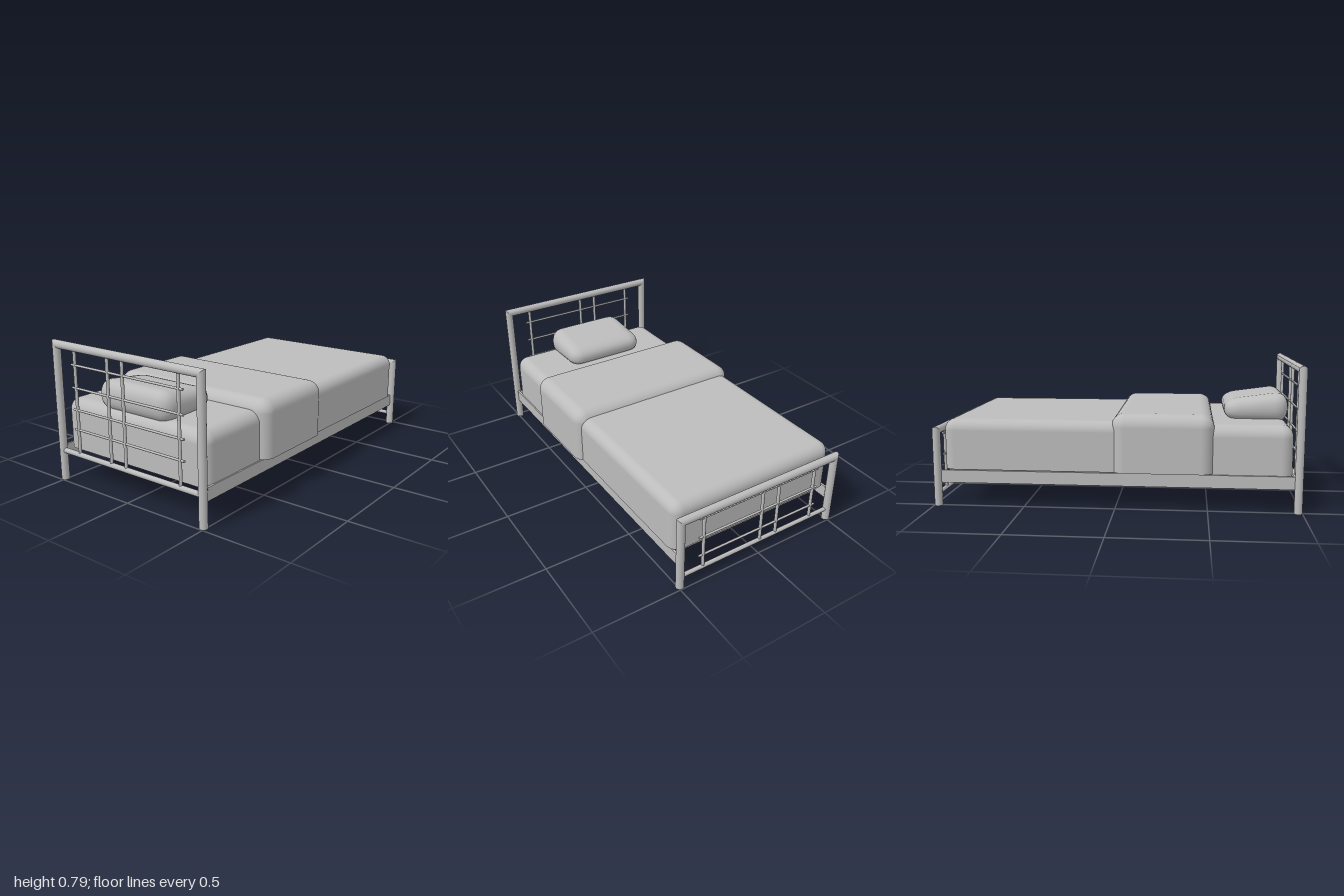
import * as THREE from 'three';
import { RoundedBoxGeometry } from 'three/addons/geometries/RoundedBoxGeometry.js';
import { mergeVertices } from 'three/addons/utils/BufferGeometryUtils.js';

const LEFT = 0.49, RIGHT = -0.505;          // post centre lines
const MID = (LEFT + RIGHT) / 2, SPAN = LEFT - RIGHT;
const POST_R = 0.0225;

export function createModel() {
  const bed = new THREE.Group();
  bed.name = 'bed';
  const grey = new THREE.MeshStandardMaterial({ color: 0xbcbcbc });
  grey.name = 'grey';

  function add(parent, name, geometry, x = 0, y = 0, z = 0) {
    const mesh = new THREE.Mesh(geometry, grey);
    mesh.name = name;
    mesh.position.set(x, y, z);
    parent.add(mesh);
    return mesh;
  }

  function bend(geometry, rule) {
    const p = geometry.attributes.position, v = new THREE.Vector3();
    for (let i = 0; i < p.count; i++) {
      v.fromBufferAttribute(p, i);
      rule(v, i);
      p.setXYZ(i, v.x, v.y, v.z);
    }
    return geometry;
  }

  const rod = (r, length, sides = 12) => new THREE.CylinderGeometry(r, r, length, sides);
  const crossRod = (r, length, sides) => rod(r, length, sides).rotateZ(Math.PI / 2);

  // Tubular end frame: two posts and a top rail with mitred corners, plus a grille
  function endFrame(name, z, height, lowRail, lowRadius, bars) {
    const frame = new THREE.Group();
    frame.name = name;
    frame.position.z = z;
    bed.add(frame);
    const top = height - POST_R;
    for (const [x, out] of [[LEFT, 1], [RIGHT, -1]]) {
      const post = rod(POST_R, top, 24).translate(0, top / 2, 0);
      bend(post, v => { if (v.y > top - 1e-4) v.y += out * v.x; });
      add(frame, 'post', post, x);
    }
    const rail = crossRod(POST_R, SPAN, 24);
    bend(rail, v => { v.x += Math.sign(v.x) * v.y; });
    add(frame, 'topRail', rail, MID, top);
    add(frame, 'lowerRail', crossRod(lowRadius, SPAN, 16), MID, lowRail);
    for (const x of [-0.368, -0.125, -0.019, 0.351])
      add(frame, 'uprightBar', rod(0.009, top - lowRail), x, (top + lowRail) / 2);
    for (const y of bars)
      add(frame, 'crossBar', crossRod(0.0065, 0.773), -0.0075, y);
  }
  endFrame('headboard', 0.9775, 0.785, 0.17, 0.015, [0.667, 0.543, 0.422, 0.312]);
  endFrame('footboard', -0.9775, 0.44, 0.069, 0.012, [0.385, 0.265, 0.147]);

  // Side rails and slats
  for (const x of [LEFT, RIGHT])
    add(bed, 'sideRail', new THREE.BoxGeometry(0.012, 0.07, 1.93), x, 0.165, 0);
  for (let i = 0; i < 7; i++)
    add(bed, 'slat', crossRod(0.011, SPAN), MID, 0.172, 0.76 - i * 0.27);

  // Soft slab with rounded top and sides and a flat underside
  function slab(name, x0, x1, y0, y1, z0, z1, r) {
    const height = y1 - y0 + r;
    const geo = new RoundedBoxGeometry(x1 - x0, height, z1 - z0, 5, r);
    const floor = -height / 2 + r;
    const n = geo.attributes.normal;
    bend(geo, (v, i) => {
      if (v.y < floor - 1e-4) {
        v.y = floor;
        n.setXYZ(i, 0, -1, 0);
      }
    });
    add(bed, name, geo, (x0 + x1) / 2, y1 - height / 2, (z0 + z1) / 2);
  }
  slab('mattress', -0.495, 0.488, 0.187, 0.465, -0.93, 0.95, 0.065);
  slab('blanket', -0.513, 0.508, 0.205, 0.48, -0.94, 0.06, 0.06);
  slab('blanketFold', -0.535, 0.535, 0.205, 0.52, -0.02, 0.53, 0.07);

  // Pillow: rounded block, thinner toward the foot and slightly domed
  let pillow = new RoundedBoxGeometry(0.5, 0.172, 0.355, 3, 0.075);
  bend(pillow, v => {
    const t = 0.5 - v.z / 0.355;
    const dome = 0.006 * (1 - Math.abs(v.x) / 0.25);
    const up = v.y + 0.086;
    v.y = 0.437 + 0.02 * t + up * (1.03 - 0.4 * t) + (v.y > 0 ? dome : 0);
  });
  pillow.deleteAttribute('normal');
  pillow.deleteAttribute('uv');
  pillow = mergeVertices(pillow, 1e-4);
  pillow.computeVertexNormals();
  add(bed, 'pillow', pillow, -0.009, 0, 0.768);

  return bed;
}
